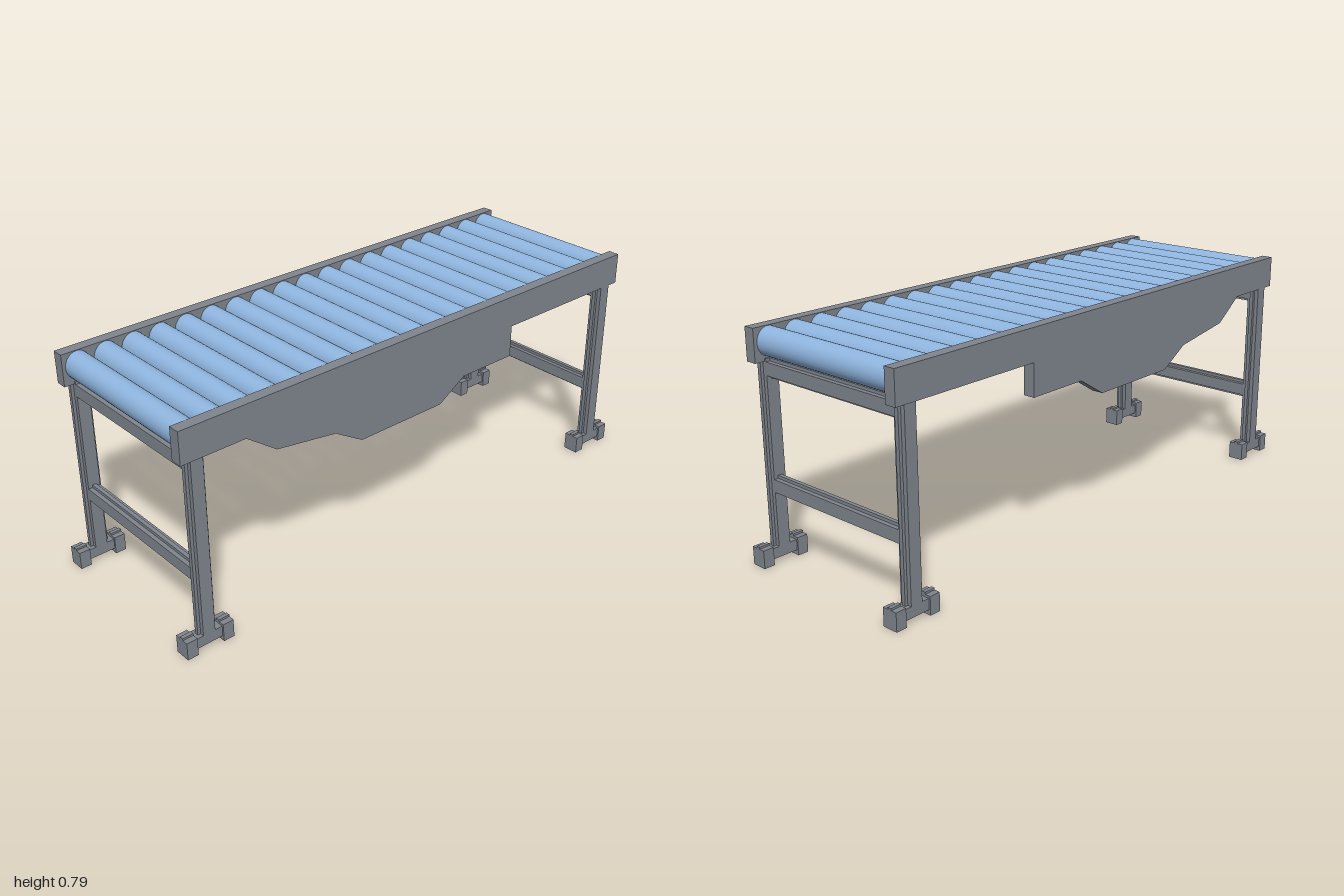
import * as THREE from 'three';

const steel = new THREE.MeshStandardMaterial({ color: 0x80868e });
steel.name = 'steelGrey';
const blue = new THREE.MeshStandardMaterial({ color: 0x90b6e0 });
blue.name = 'rollerBlue';

const LEG_X = 0.31, LEG_Z = 0.913;

function box(parent, name, size, pos) {
  const m = new THREE.Mesh(new THREE.BoxGeometry(...size), steel);
  m.name = name;
  m.position.set(...pos);
  parent.add(m);
}

// Square bar with a narrow rib on two opposite sides, extruded along its length
function ribbedBar(name, length) {
  const c = 0.022, r = 0.0325, w = 0.007;
  const s = new THREE.Shape([
    [-c, -c], [-w, -c], [-w, -r], [w, -r], [w, -c], [c, -c],
    [c, c], [w, c], [w, r], [-w, r], [-w, c], [-c, c],
  ].map(p => new THREE.Vector2(...p)));
  const g = new THREE.ExtrudeGeometry(s, { depth: length, bevelEnabled: false });
  g.translate(0, 0, -length / 2);
  const m = new THREE.Mesh(g, steel);
  m.name = name;
  return m;
}

// Side panel outline as (z, y), with the stepped skirt below
function sidePanel() {
  const pts = [
    [0.97, 0.787], [0.97, 0.675], [0.74, 0.675], [0.63, 0.595], [0.4, 0.56], [0.29, 0.494],
    [-0.06, 0.494], [-0.17, 0.562], [-0.4, 0.562], [-0.4, 0.675], [-0.97, 0.675], [-0.97, 0.787],
  ];
  const s = new THREE.Shape(pts.map(([z, y]) => new THREE.Vector2(-z, y)));
  const g = new THREE.ExtrudeGeometry(s, { depth: 0.041, bevelEnabled: false });
  g.translate(0, 0, -0.0205);
  g.rotateY(Math.PI / 2);
  const m = new THREE.Mesh(g, steel);
  m.name = 'sidePanel';
  return m;
}

// Foot: two end blocks joined by a raised saddle under the leg
function foot() {
  const f = new THREE.Group();
  f.name = 'foot';
  for (const s of [-1, 1]) {
    box(f, 'footBlock', [0.056, 0.063, 0.039], [0, 0.0315, s * 0.0675]);
    box(f, 'footBlockRidge', [0.014, 0.007, 0.039], [0, 0.0665, s * 0.0675]);
  }
  box(f, 'footBridge', [0.044, 0.037, 0.096], [0, 0.0365, 0]);
  return f;
}

export function createModel() {
  const model = new THREE.Group();
  model.name = 'rollerConveyor';

  // Side panels
  for (const sx of [-1, 1]) {
    const p = sidePanel();
    p.position.x = sx * 0.3145;
    model.add(p);
  }

  // Rollers
  const rollerGeo = new THREE.CylinderGeometry(1, 1, 0.584, 32);
  rollerGeo.rotateZ(Math.PI / 2);
  rollerGeo.scale(1, 0.048, 0.0435);
  const rollers = new THREE.Group();
  rollers.name = 'rollers';
  for (let i = 0; i < 19; i++) {
    const r = new THREE.Mesh(rollerGeo, blue);
    r.name = 'roller';
    r.position.set(0, 0.738, (i - 9) * 0.1018);
    rollers.add(r);
  }
  model.add(rollers);

  // End frames: legs, feet and two cross bars
  for (const sz of [-1, 1]) {
    const frame = new THREE.Group();
    frame.name = sz > 0 ? 'frontFrame' : 'backFrame';
    for (const sx of [-1, 1]) {
      const leg = ribbedBar('leg', 0.635);
      leg.rotation.x = Math.PI / 2;
      leg.position.set(sx * LEG_X, 0.3675, 0);
      frame.add(leg);
      const f = foot();
      f.position.x = sx * LEG_X;
      frame.add(f);
    }
    for (const [name, y] of [['upperCrossBar', 0.6525], ['lowerCrossBar', 0.2645]]) {
      const bar = ribbedBar(name, 0.58);
      bar.rotation.y = Math.PI / 2;
      bar.position.y = y;
      frame.add(bar);
    }
    frame.position.z = sz * LEG_Z;
    model.add(frame);
  }
  return model;
}
